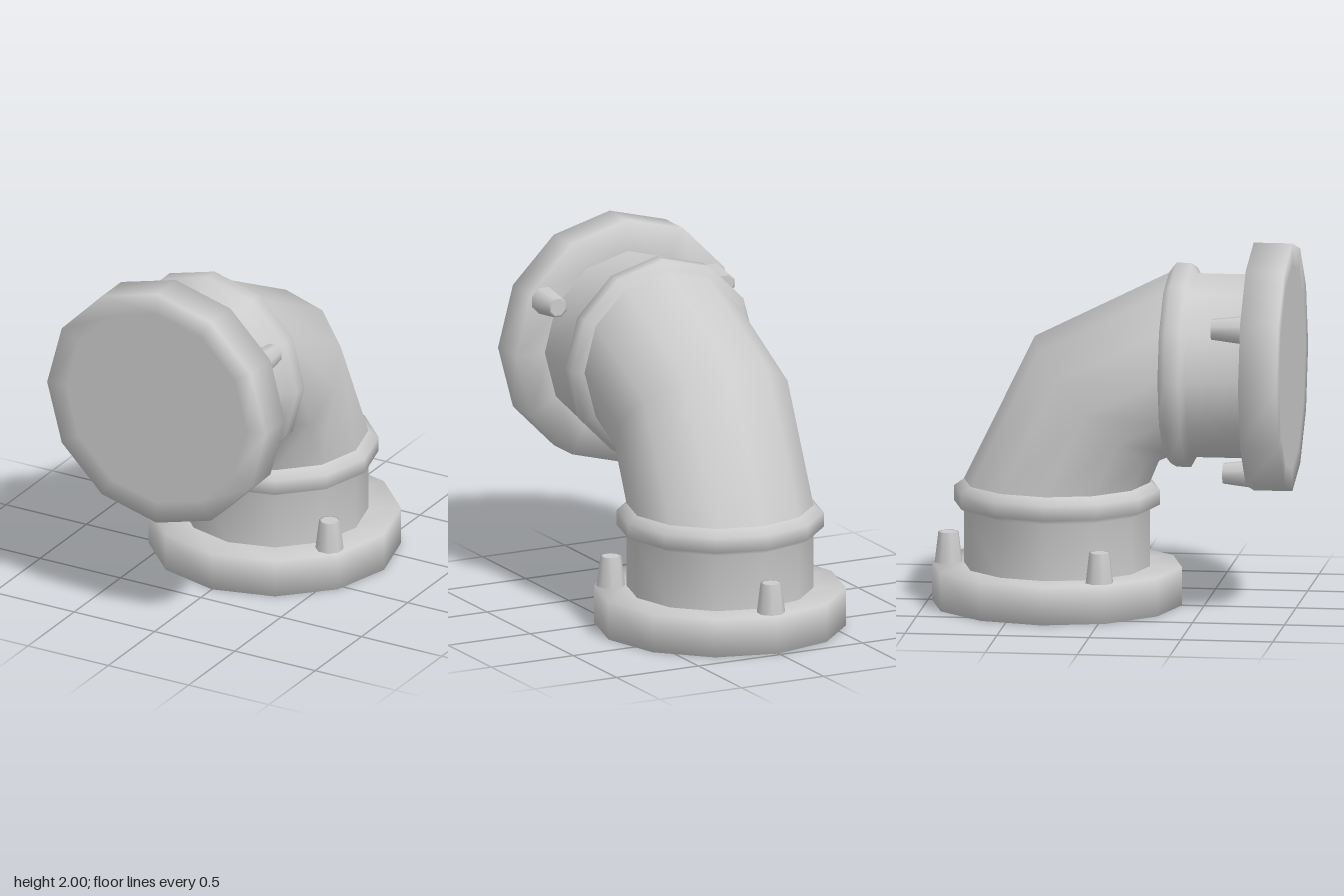
import * as THREE from 'three';

const SIDES = 12;
const PIPE_R = 0.505;
const material = new THREE.MeshStandardMaterial({ color: 0xcccccc });

function lathe(name, profile, sides) {
  const points = profile.map(([r, y]) => new THREE.Vector2(r, y));
  const mesh = new THREE.Mesh(new THREE.LatheGeometry(points, sides), material);
  mesh.name = name;
  return mesh;
}

// Flange, collared pipe stub and three bolts, standing along +y
function createPipeEnd(name) {
  const end = new THREE.Group();
  end.name = name;
  end.add(lathe('flange', [[0, 0], [0.56, 0], [0.68, 0], [0.68, 0.21], [0.48, 0.21]], SIDES));
  end.add(lathe('collaredPipe', [
    [PIPE_R, 0.2], [PIPE_R, 0.52], [0.56, 0.55], [0.56, 0.63], [PIPE_R, 0.67],
  ], SIDES));
  for (let i = 0; i < 3; i++) {
    const a = Math.PI / 6 + (i * Math.PI * 2) / 3;
    const bolt = lathe('bolt', [[0.077, 0], [0.057, 0.165], [0.045, 0.165], [0, 0.165]], 8);
    bolt.position.set(0.59 * Math.cos(a), 0.21, 0.59 * Math.sin(a));
    bolt.rotation.y = Math.PI / 8;
    end.add(bolt);
  }
  return end;
}

// Mitred bend: three rings, each given by its inner and outer [y, z] in the middle plane
function createElbow() {
  const rings = [
    { inner: [0.67, 0.205], outer: [0.67, -0.805] },
    { inner: [0.79, 0.255], outer: [1.46, -0.42] },
    { inner: [0.815, 0.31], outer: [1.825, 0.31] },
  ];
  const positions = [];
  const index = [];
  rings.forEach(({ inner, outer }, r) => {
    for (let i = 0; i < SIDES; i++) {
      const a = (i / SIDES) * Math.PI * 2;
      const t = (1 - Math.cos(a)) / 2;
      positions.push(
        PIPE_R * Math.sin(a),
        THREE.MathUtils.lerp(inner[0], outer[0], t),
        THREE.MathUtils.lerp(inner[1], outer[1], t),
      );
      if (r === rings.length - 1) continue;
      const p = r * SIDES + i;
      const q = r * SIDES + ((i + 1) % SIDES);
      index.push(p, q, q + SIDES, p, q + SIDES, p + SIDES);
    }
  });
  const geometry = new THREE.BufferGeometry();
  geometry.setAttribute('position', new THREE.Float32BufferAttribute(positions, 3));
  geometry.setIndex(index);
  geometry.computeVertexNormals();
  const mesh = new THREE.Mesh(geometry, material);
  mesh.name = 'elbow';
  return mesh;
}

export function createModel() {
  const model = new THREE.Group();
  model.name = 'pipeElbow';

  const lower = createPipeEnd('lowerEnd');
  lower.position.set(0, 0, -0.3);

  // Same end piece, turned to face the front
  const upper = createPipeEnd('upperEnd');
  upper.position.set(0, 1.32, 0.98);
  upper.rotation.x = -Math.PI / 2;

  model.add(lower, upper, createElbow());
  return model;
}
